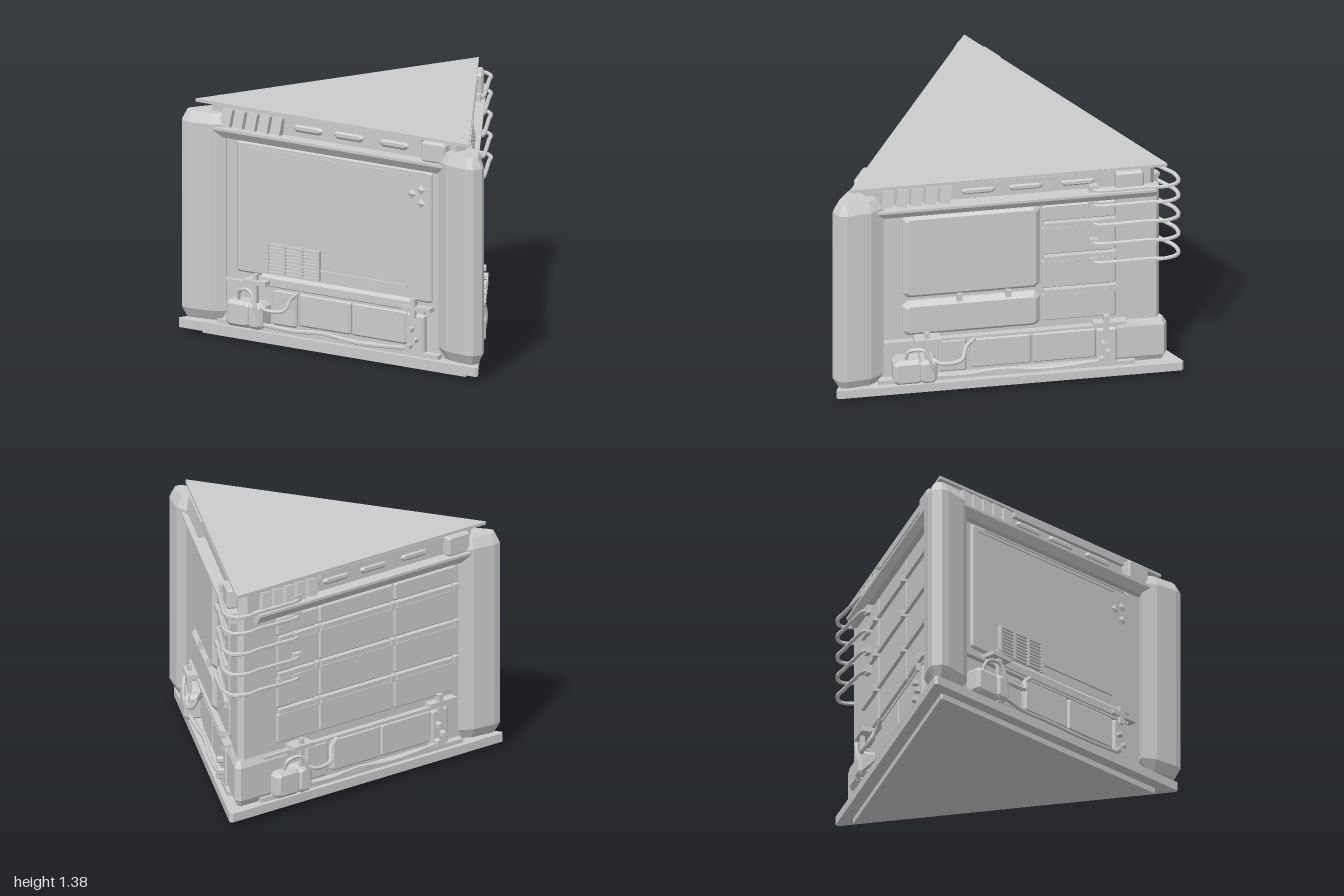
import * as THREE from 'three';

const material = new THREE.MeshStandardMaterial({ color: 0xcccccc, flatShading: true, side: THREE.DoubleSide });
const CENTRE_Z = -0.27;
const DEG = Math.PI / 180;

function add(parent, name, geometry) {
  const mesh = new THREE.Mesh(geometry, material);
  mesh.name = name;
  parent.add(mesh);
  return mesh;
}

// Upright prism from plan points [x, z], with chamfered ends
function prism(parent, name, plan, y0, y1, bevel = 0, inset = bevel) {
  const shape = new THREE.Shape(plan.map(([x, z]) => new THREE.Vector2(x, -z)));
  const geometry = new THREE.ExtrudeGeometry(shape, {
    depth: y1 - y0 - 2 * bevel, bevelEnabled: bevel > 0, bevelSegments: 1,
    bevelThickness: bevel, bevelSize: inset, bevelOffset: -inset,
  });
  geometry.rotateX(-Math.PI / 2).translate(0, y0 + bevel, 0);
  return add(parent, name, geometry);
}

// Triangle plan with side distance d and corners cut w either side of the tip
function trianglePlan(d, w) {
  const r = (d - 0.866 * w) * 2;
  const points = [];
  for (const a of [0, 120, 240]) {
    const s = Math.sin(a * DEG), c = Math.cos(a * DEG);
    for (const x of [-w, w]) points.push([x * c + r * s, -x * s + r * c]);
  }
  return points;
}

// Wall plate from u0..u1, y0..y1, standing out from d0 to d1 with cut corners and a bevelled rim
function plate(parent, name, u0, u1, y0, y1, d0, d1, cut = 0.012) {
  const b = cut * 0.9;
  const s = new THREE.Shape();
  s.moveTo(u0 + cut, y0); s.lineTo(u1 - cut, y0); s.lineTo(u1, y0 + cut); s.lineTo(u1, y1 - cut);
  s.lineTo(u1 - cut, y1); s.lineTo(u0 + cut, y1); s.lineTo(u0, y1 - cut); s.lineTo(u0, y0 + cut);
  const geometry = new THREE.ExtrudeGeometry(s, {
    depth: d1 - d0 - b, bevelSegments: 1, bevelThickness: b, bevelSize: b, bevelOffset: -b,
  });
  return add(parent, name, geometry.translate(0, 0, d0));
}

function box(parent, name, u0, u1, y0, y1, d0, d1) {
  const mesh = add(parent, name, new THREE.BoxGeometry(u1 - u0, y1 - y0, d1 - d0));
  mesh.position.set((u0 + u1) / 2, (y0 + y1) / 2, (d0 + d1) / 2);
  return mesh;
}

function tube(parent, name, points, radius, segments = 24) {
  const curve = new THREE.CatmullRomCurve3(points.map(p => new THREE.Vector3(...p)), false, 'centripetal');
  return add(parent, name, new THREE.TubeGeometry(curve, segments, radius, 6));
}

function turned(parent, name, degrees) {
  const group = new THREE.Group();
  group.name = name;
  group.rotation.y = degrees * DEG;
  parent.add(group);
  return group;
}

// Cornice, frieze, skirting and utility equipment shared by all walls
function addCommonParts(wall) {
  // sloped cornice profile run along the wall
  const profile = new THREE.Shape([[0.5, 1.18], [0.545, 1.18], [0.575, 1.225], [0.575, 1.24], [0.5, 1.245]]
    .map(([d, y]) => new THREE.Vector2(-d, y)));
  const cornice = new THREE.ExtrudeGeometry(profile, { depth: 1.62, bevelEnabled: false });
  add(wall, 'cornice', cornice.rotateY(Math.PI / 2).translate(-0.78, 0, 0));

  // frieze: slanted vent fins, slotted beam and end block
  for (let i = 0; i < 5; i++) {
    const fin = box(wall, 'ventFin', -0.73 + i * 0.083, -0.665 + i * 0.083, 1.245, 1.345, 0.5, 0.54);
    fin.rotation.set(-0.15, 0, -0.12);
  }
  box(wall, 'friezeBeam', -0.3, 0.6, 1.325, 1.36, 0.5, 0.53);
  for (const u of [-0.27, 0.0, 0.3]) plate(wall, 'friezeBlock', u, u + 0.2, 1.27, 1.325, 0.5, 0.52, 0.02);
  plate(wall, 'friezeEndBlock', 0.61, 0.77, 1.24, 1.36, 0.5, 0.56);

  // skirting
  box(wall, 'skirtingLedge', -0.72, 0.62, 0.335, 0.352, 0.5, 0.54);
  box(wall, 'skirtingFoot', -0.75, 0.72, 0.085, 0.11, 0.5, 0.55);
  plate(wall, 'equipmentPanel', -0.22, 0.13, 0.14, 0.335, 0.5, 0.54);
  plate(wall, 'equipmentPanel', 0.135, 0.5, 0.14, 0.335, 0.5, 0.54);
  plate(wall, 'sidePanel', -0.4, -0.24, 0.12, 0.33, 0.5, 0.525);
  plate(wall, 'junctionBox', -0.67, -0.5, 0.095, 0.25, 0.5, 0.6, 0.022);

  // bracket post with cables
  box(wall, 'post', -0.49, -0.465, 0.09, 0.42, 0.56, 0.585);
  plate(wall, 'postBracket', -0.52, -0.42, 0.1, 0.25, 0.5, 0.61, 0.02);
  box(wall, 'postArm', -0.55, -0.4, 0.36, 0.385, 0.5, 0.6);
  tube(wall, 'cable', [[-0.45, 0.25, 0.58], [-0.4, 0.225, 0.6], [-0.28, 0.235, 0.59], [-0.25, 0.3, 0.56], [-0.2, 0.345, 0.55]], 0.012);
  tube(wall, 'cable', [[-0.6, 0.24, 0.56], [-0.58, 0.31, 0.58], [-0.5, 0.32, 0.6], [-0.46, 0.24, 0.61], [-0.43, 0.12, 0.59]], 0.011);
  tube(wall, 'groundCable', [[-0.43, 0.13, 0.58], [-0.25, 0.115, 0.56], [-0.05, 0.125, 0.55], [0.2, 0.11, 0.56], [0.52, 0.125, 0.55]], 0.012);

  // valve station at the far end
  plate(wall, 'valvePlate', 0.5, 0.62, 0.1, 0.33, 0.5, 0.545);
  box(wall, 'valvePost', 0.54, 0.57, 0.31, 0.42, 0.53, 0.56);
  box(wall, 'valveArm', 0.48, 0.67, 0.355, 0.378, 0.5, 0.56);
  for (const [u, y] of [[0.54, 0.24], [0.57, 0.18], [0.53, 0.14]]) {
    const valve = add(wall, 'valve', new THREE.CylinderGeometry(0.02, 0.02, 0.04, 6));
    valve.position.set(u, y, 0.56);
    valve.rotation.set(Math.PI / 2, 0, 0);
  }
}

// Rows of flat cladding between clipped horizontal bars
function addCladding(wall, columns) {
  const rows = [0.385, 0.6, 0.82, 1.04, 1.18];
  for (let c = 0; c < columns.length - 1; c++) {
    const u0 = columns[c], u1 = columns[c + 1];
    for (let r = 0; r < 4; r++) {
      plate(wall, 'claddingPanel', u0 + 0.006, u1 - 0.006, rows[r] + 0.018, rows[r + 1] - 0.018, 0.5, 0.525, 0.008);
      if (r === 0) continue;
      box(wall, 'claddingBar', u0 + 0.012, u1 - 0.012, rows[r] - 0.015, rows[r] + 0.012, 0.5, 0.54);
      box(wall, 'barClip', u1 - 0.04, u1 - 0.01, rows[r] - 0.02, rows[r] + 0.02, 0.5, 0.552);
    }
  }
}

export function createModel() {
  const model = new THREE.Group();
  model.name = 'triangularBuilding';
  const building = new THREE.Group();
  building.name = 'building';
  building.position.z = CENTRE_Z;
  model.add(building);

  // base, body and roof
  prism(building, 'foundation', trianglePlan(0.51, 0.005), 0, 0.035);
  prism(building, 'baseSlab', trianglePlan(0.58, 0.01), 0.033, 0.085);
  prism(building, 'body', trianglePlan(0.505, 0.03), 0.08, 1.36);
  prism(building, 'roof', trianglePlan(0.527, 0.003), 1.358, 1.375);

  const leftWall = turned(building, 'plainWall', -60);
  const rightWall = turned(building, 'panelledWall', 60);
  const backWall = turned(building, 'cladWall', 180);
  for (const wall of [leftWall, rightWall, backWall]) addCommonParts(wall);

  // panelled wall: two raised panels and cladding
  plate(rightWall, 'largePanel', -0.61, 0.18, 0.63, 1.18, 0.5, 0.545, 0.03);
  plate(rightWall, 'lowPanel', -0.61, 0.18, 0.38, 0.605, 0.5, 0.545, 0.03);
  for (const u of [-0.3, -0.02]) box(rightWall, 'panelClip', u, u + 0.03, 0.595, 0.64, 0.5, 0.55);
  addCladding(rightWall, [0.185, 0.62]);
  addCladding(backWall, [-0.62, -0.31, 0.24, 0.7]);

  // plain wall: large sheet, grille, trim and diamond studs
  plate(leftWall, 'plainSheet', -0.64, 0.66, 0.4, 1.17, 0.5, 0.522);
  plate(leftWall, 'lowSheet', -0.48, 0.56, 0.335, 0.415, 0.5, 0.545, 0.02);
  box(leftWall, 'trimStrip', -0.6, 0.52, 1.132, 1.144, 0.52, 0.53);
  box(leftWall, 'trimStrip', -0.55, 0.6, 1.154, 1.162, 0.52, 0.53);
  box(leftWall, 'lowTrim', -0.08, 0.5, 0.478, 0.488, 0.52, 0.535);
  box(leftWall, 'grilleBack', -0.42, -0.08, 0.43, 0.6, 0.515, 0.528);
  for (let i = 0; i < 9; i++) box(leftWall, 'grilleSlat', -0.42, -0.08, 0.43 + i * 0.02, 0.438 + i * 0.02, 0.52, 0.543);
  for (let i = 0; i < 4; i++) box(leftWall, 'grilleUpright', -0.43 + i * 0.113, -0.415 + i * 0.113, 0.425, 0.603, 0.52, 0.545);
  for (const [u, y] of [[0.53, 1.03], [0.59, 1.06], [0.59, 0.98]]) {
    const stud = add(leftWall, 'diamondStud', new THREE.OctahedronGeometry(0.03));
    stud.position.set(u, y, 0.522);
    stud.scale.z = 0.4;
  }

  // rounded corner pillars at the front and back-left
  const pillarPlan = [[-0.115, 0.9], [0.115, 0.9], [0.115, 0.99], [0.06, 1.12], [0.03, 1.155],
    [-0.03, 1.155], [-0.06, 1.12], [-0.115, 0.99]];
  const frontCorner = turned(building, 'frontCorner', 0);
  const backLeftCorner = turned(building, 'backLeftCorner', -120);
  const backRightCorner = turned(building, 'backRightCorner', 120);
  prism(frontCorner, 'pillar', pillarPlan, 0.1, 1.315, 0.06, 0.03);
  prism(backLeftCorner, 'pillar', pillarPlan.map(([x, z]) => [x, z - 0.03]), 0.1, 1.315, 0.06, 0.03);
  for (const y of [0.3, 0.72, 1.2]) {
    box(backWall, 'pillarClamp', 0.78, 0.87, y, y + 0.035, 0.5, 0.575);
  }

  // open corner: cladding shells, chamfered foot and wrap-around rails
  const shell = d => [[-0.19, (d - 0.1645) * 2], [0.19, (d - 0.1645) * 2], [0.02, (d - 0.0173) * 2], [-0.02, (d - 0.0173) * 2]];
  prism(backRightCorner, 'cornerShell', shell(0.513), 0.36, 1.22);
  prism(backRightCorner, 'cornerFoot', shell(0.535), 0.085, 0.36, 0.04, 0.02);
  for (const y of [0.79, 0.915, 1.04, 1.165, 1.265]) {
    const half = [[0.215, y - 0.01, 0.67], [0.235, y - 0.01, 0.71], [0.195, y - 0.005, 0.81], [0.11, y + 0.005, 0.985], [0.07, y + 0.005, 1.07]];
    const mirrored = half.map(([x, h, z]) => [-x, h, z]).reverse();
    tube(backRightCorner, 'rail', [...half, [0, y + 0.005, 1.115], ...mirrored], 0.012, 40);
    for (const side of [-1, 1]) {
      const clamp = add(backRightCorner, 'railClamp', new THREE.BoxGeometry(0.05, 0.05, 0.05));
      clamp.position.set(side * 0.215, y - 0.01, 0.68);
      clamp.rotation.y = side * 60 * DEG;
    }
  }
  return model;
}
